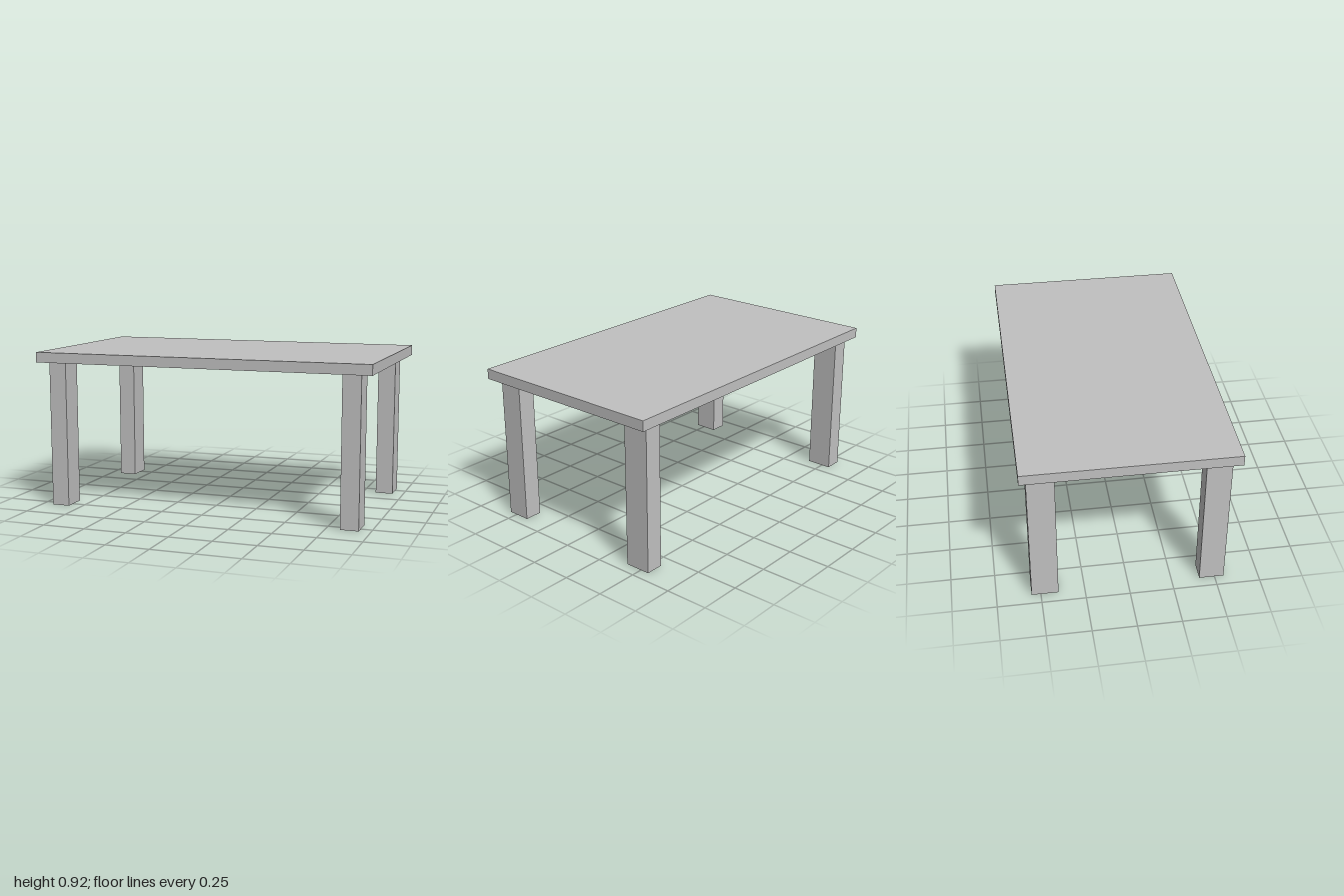
import * as THREE from 'three';

export function createModel() {
  const model = new THREE.Group();
  model.name = 'table';
  const grey = new THREE.MeshStandardMaterial({ name: 'grey', color: 0xc0c0c0 });

  // Box given by its lower and upper corners
  function block(name, min, max) {
    const size = max.map((v, i) => v - min[i]);
    const mesh = new THREE.Mesh(new THREE.BoxGeometry(...size), grey);
    mesh.position.set(...max.map((v, i) => (v + min[i]) / 2));
    mesh.name = name;
    model.add(mesh);
  }

  const underside = 0.858;
  block('tableTop', [-1, underside, -0.592], [1, 0.918, 0.592]);

  // Four legs, the back pair slightly deeper
  for (const [side, x0, x1] of [['Left', 0.829, 0.934], ['Right', -0.934, -0.829]]) {
    block('front' + side + 'Leg', [x0, 0, 0.411], [x1, underside, 0.553]);
    block('back' + side + 'Leg', [x0, 0, -0.552], [x1, underside, -0.4]);
  }
  return model;
}
